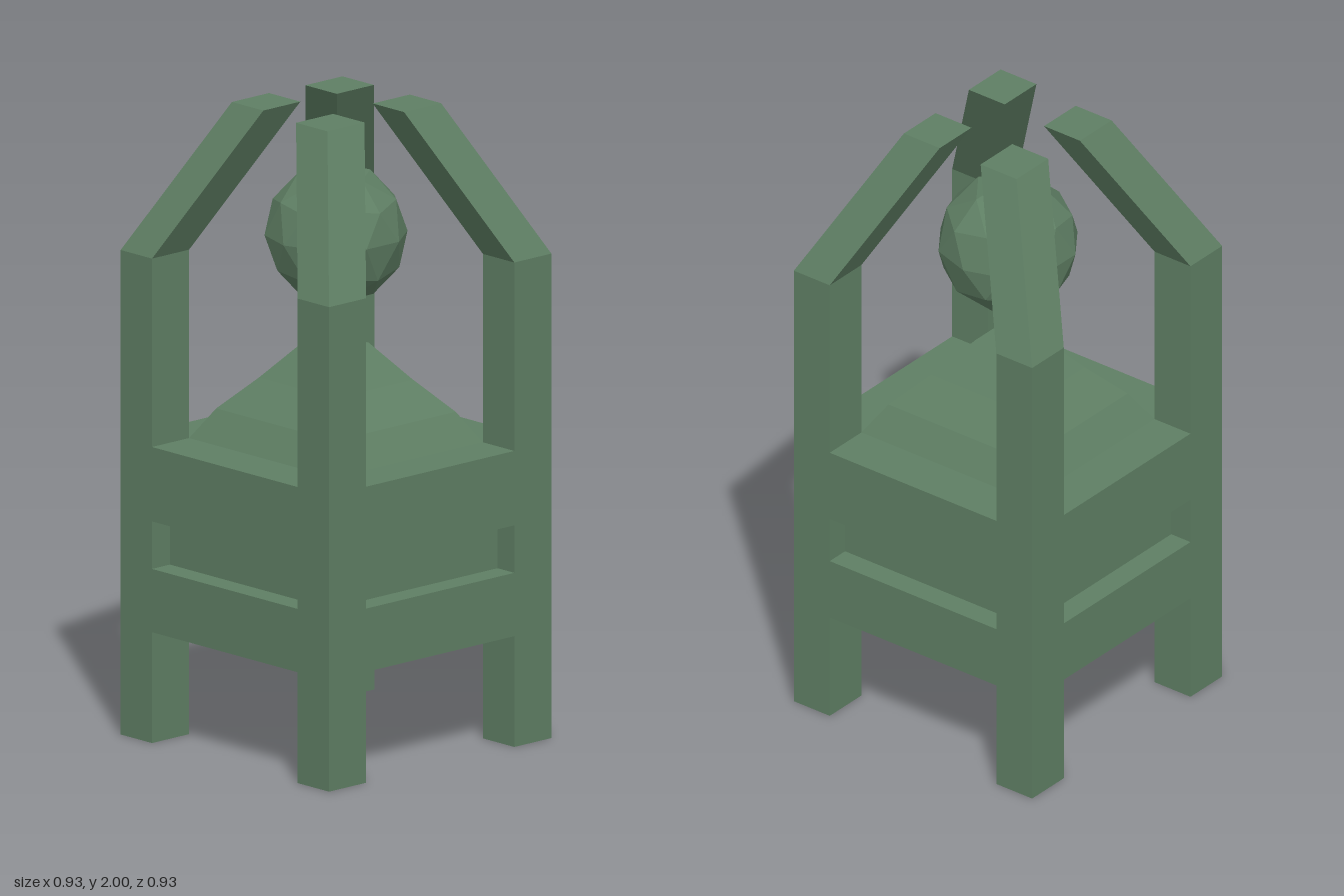
import * as THREE from 'three';

const OUT = 0.465, IN_X = 0.325, IN_Z = 0.31;
const DECK = 0.935, BEND = 1.53, TOP = 2;

export function createModel() {
  const group = new THREE.Group();
  const material = new THREE.MeshStandardMaterial({ color: 0x5f7f64, flatShading: true });

  const add = (name, geometry) => {
    const mesh = new THREE.Mesh(geometry, material);
    mesh.name = name;
    group.add(mesh);
    return mesh;
  };

  // Box given by its lower and upper corners
  const box = (name, x0, x1, y0, y1, z0, z1) => {
    const g = new THREE.BoxGeometry(x1 - x0, y1 - y0, z1 - z0);
    g.translate((x0 + x1) / 2, (y0 + y1) / 2, (z0 + z1) / 2);
    return add(name, g);
  };

  // Corner post: straight up to the bend, then sheared towards the middle
  const post = (name, sx, sz, topX, topZ) => {
    const w = OUT - IN_X, d = OUT - IN_Z;
    const cx = sx * (OUT + IN_X) / 2, cz = sz * (OUT + IN_Z) / 2;
    const g = new THREE.BoxGeometry(w, 1, d, 1, 2, 1);
    const p = g.attributes.position;
    for (let i = 0; i < p.count; i++) {
      const level = Math.round((p.getY(i) + 0.5) * 2);
      const x = level === 2 ? topX : cx, z = level === 2 ? topZ : cz;
      p.setXYZ(i, p.getX(i) + x, [0, BEND, TOP][level], p.getZ(i) + z);
    }
    g.computeVertexNormals();
    add(name, g);
  };
  post('frontLeftPost', 1, 1, 0.158, 0.172);
  post('frontRightPost', -1, 1, -0.156, 0.146);
  post('backLeftPost', 1, -1, 0.151, -0.155);
  post('backRightPost', -1, -1, -0.147, -0.153);

  // Walls: two rails with a panel between them, pushed inwards
  const bands = [['LowerRail', 0.35, 0.55, 0], ['Panel', 0.55, 0.7, 0.075], ['UpperRail', 0.7, DECK, 0]];
  for (const [part, y0, y1, push] of bands) {
    const a = IN_Z - push, b = OUT - push;
    box('front' + part, -IN_X, IN_X, y0, y1, a, b);
    box('back' + part, -IN_X, IN_X, y0, y1, -b, -a);
    const c = IN_X - push, d = OUT - push;
    box('left' + part, c, d, y0, y1, -IN_Z, IN_Z);
    box('right' + part, -d, -c, y0, y1, -IN_Z, IN_Z);
  }

  // Four-sided stepped mound rising from the deck
  const profile = [[0, DECK], [0.325, DECK], [0.265, 1.03], [0.17, 1.13], [0.072, 1.245], [0, 1.245]]
    .map(([r, y]) => new THREE.Vector2(r * Math.SQRT2, y));
  const mound = new THREE.LatheGeometry(profile, 4, Math.PI / 4);
  mound.scale(1, 1, IN_Z / IN_X);
  add('mound', mound);

  // Faceted orb with a vertex at each pole
  const orb = new THREE.IcosahedronGeometry(0.22, 1);
  orb.rotateZ(-Math.atan(2 / (1 + Math.sqrt(5))));
  orb.translate(0, 1.59, 0);
  add('orb', orb);

  return group;
}
